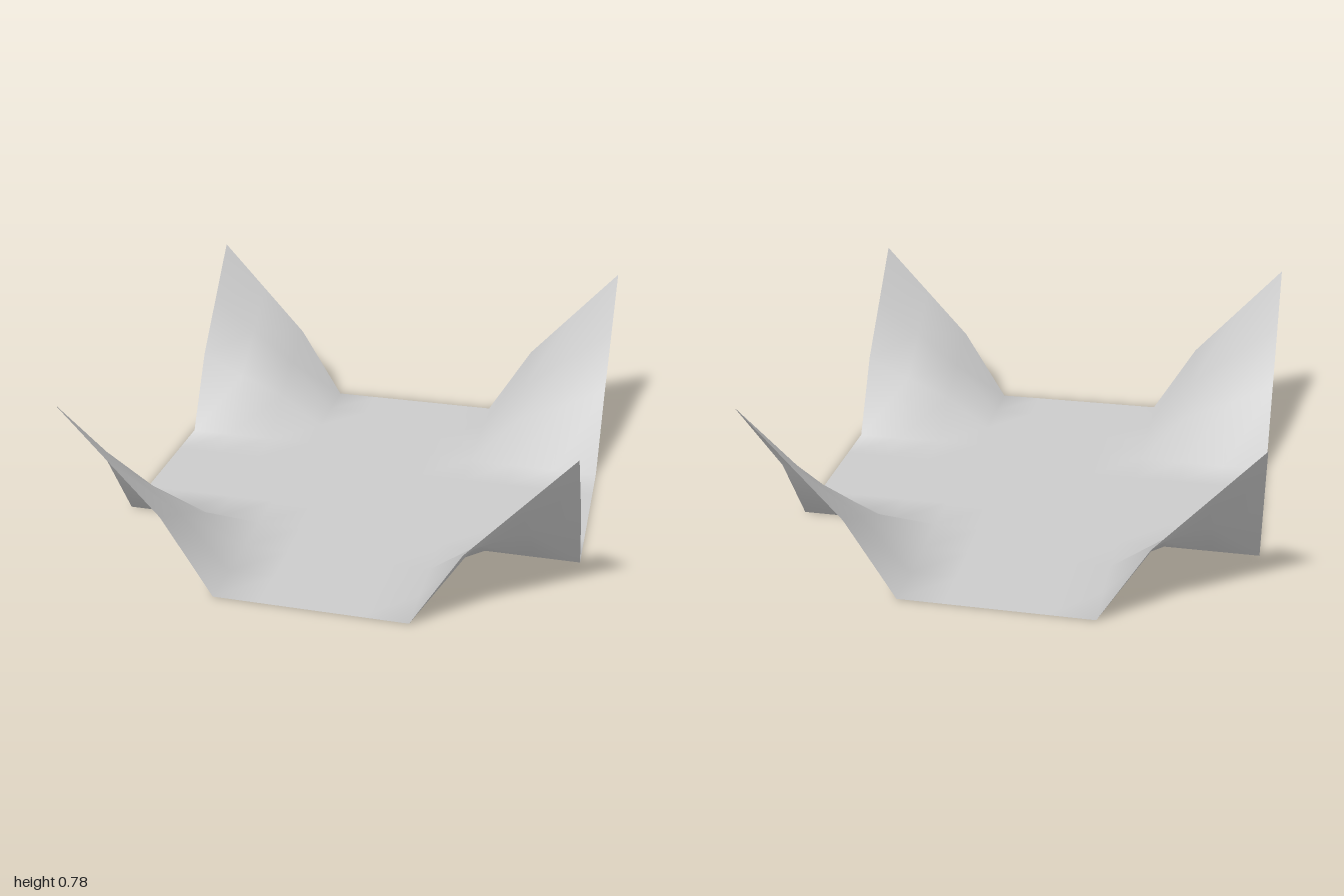
import * as THREE from 'three';

// Height of the sheet: flat in the middle, each corner swept up to a point
function height(x, z) {
  const ax = Math.abs(x), az = Math.abs(z);
  return ax > 0.5 && az > 0.5 ? 1.6 * (ax - 0.3) * (az - 0.3) : 0;
}

export function createModel() {
  const group = new THREE.Group();
  group.name = 'upturnedSheet';

  // Ten by ten grid with raised corners
  const geometry = new THREE.PlaneGeometry(2, 2, 10, 10);
  geometry.rotateX(-Math.PI / 2);
  const pos = geometry.attributes.position;
  for (let i = 0; i < pos.count; i++) {
    pos.setY(i, height(pos.getX(i), pos.getZ(i)));
  }
  geometry.computeVertexNormals();

  const material = new THREE.MeshStandardMaterial({ color: 0xcccccc, side: THREE.DoubleSide });
  const sheet = new THREE.Mesh(geometry, material);
  sheet.name = 'sheetWithRaisedCorners';
  group.add(sheet);
  return group;
}
